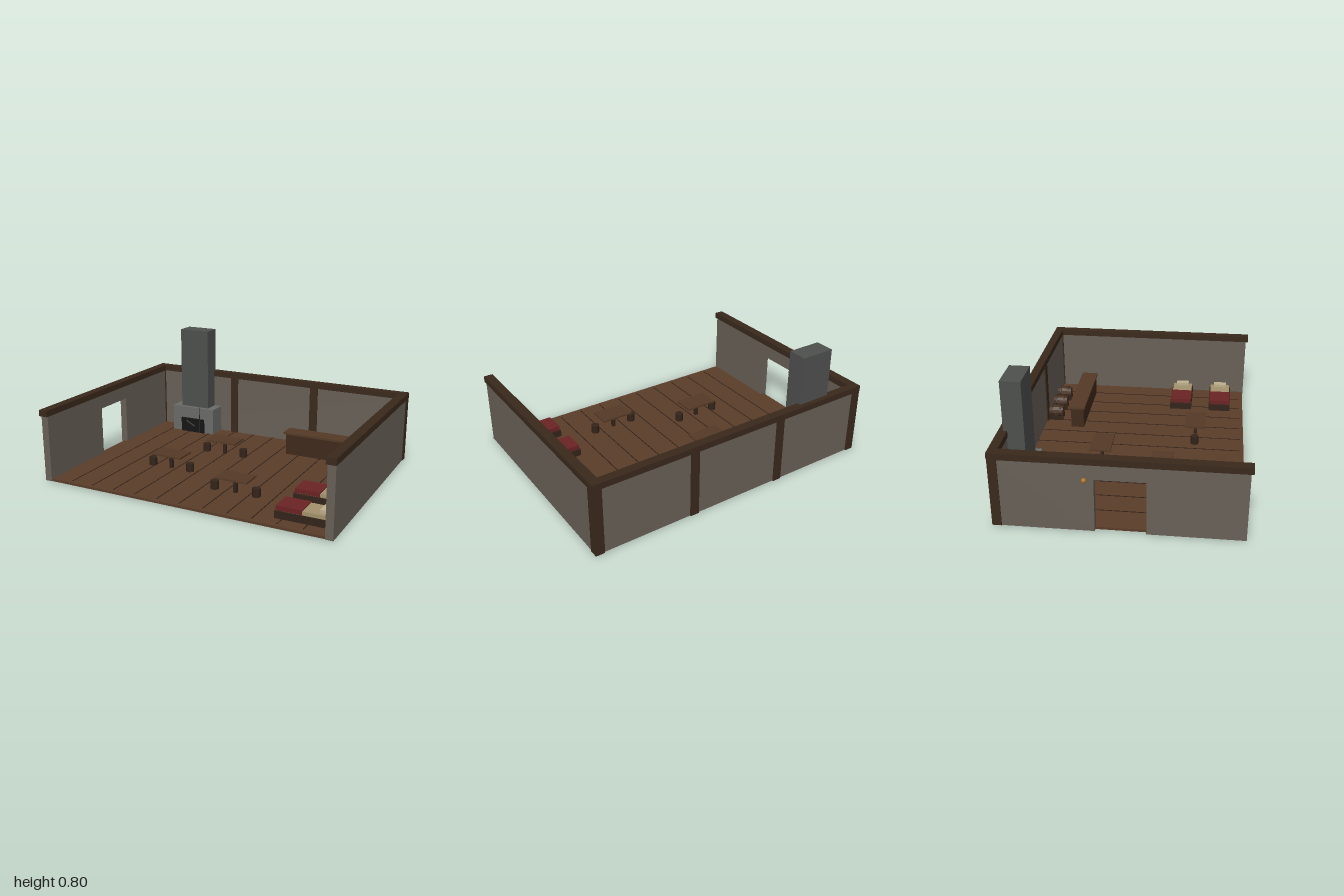
import * as THREE from 'three';

const mat = (color) => new THREE.MeshStandardMaterial({ color });

export function createModel() {
  const root = new THREE.Group();
  root.name = 'tavernRoom';
  const M = {
    floor: mat(0x5a3d2a), gap: mat(0x2e1f16), beam: mat(0x3a291c), plaster: mat(0x686057),
    stone: mat(0x6a6a68), chimney: mat(0x4e504e), black: mat(0x151515), table: mat(0x553a26),
    stool: mat(0x33241a), counter: mat(0x402a1c), red: mat(0x6b2323), cream: mat(0xa3916c),
    pillow: mat(0xbdb08c), brass: mat(0xa8702a), iron: mat(0x2a2a2a),
  };

  const add = (name, geo, material, x, y, z, parent = root) => {
    const m = new THREE.Mesh(geo, material);
    m.name = name;
    m.position.set(x, y, z);
    parent.add(m);
    return m;
  };
  // Box given by its min and max along each axis
  const box = (name, material, x0, x1, y0, y1, z0, z1, parent = root) =>
    add(name, new THREE.BoxGeometry(x1 - x0, y1 - y0, z1 - z0), material,
      (x0 + x1) / 2, (y0 + y1) / 2, (z0 + z1) / 2, parent);
  const group = (name, x = 0, y = 0, z = 0) => {
    const g = new THREE.Group();
    g.name = name;
    g.position.set(x, y, z);
    root.add(g);
    return g;
  };

  // Plank floor with dark seams
  box('floor', M.floor, -0.94, 0.975, 0.004, 0.02, -0.715, 0.715);
  for (let i = 0; i < 11; i++) {
    const x = -0.772 + i * 0.158;
    box('plankSeam', M.gap, x - 0.003, x + 0.003, 0.019, 0.0215, -0.69, 0.69);
  }

  // Back and plain side wall
  box('backWall', M.plaster, -0.955, 0.99, 0.004, 0.445, -0.73, -0.69);
  box('leftWall', M.plaster, 0.946, 0.994, 0.004, 0.445, -0.72, 0.72);

  // Side wall with the doorway cut out
  const outline = new THREE.Shape();
  [[-0.72, 0.004], [-0.14, 0.004], [-0.14, 0.345], [0.155, 0.345], [0.155, 0.004],
    [0.72, 0.004], [0.72, 0.445], [-0.72, 0.445]]
    .forEach(([z, y], i) => (i ? outline.lineTo(-z, y) : outline.moveTo(-z, y)));
  const doorWall = new THREE.ExtrudeGeometry(outline, { depth: 0.048, bevelEnabled: false });
  doorWall.rotateY(Math.PI / 2);
  add('doorWall', doorWall, M.plaster, -0.96, 0, 0);

  // Posts along the back and beams capping the walls
  for (const x of [-0.935, -0.302, 0.332, 0.97])
    box('backPost', M.beam, x - 0.029, x + 0.029, 0.004, 0.445, -0.738, -0.682);
  box('backBeam', M.beam, -0.965, 1, 0.44, 0.48, -0.74, -0.685);
  for (const x of [-0.935, 0.97])
    box('sideBeam', M.beam, x - 0.03, x + 0.03, 0.44, 0.48, -0.685, 0.735);

  // Lamp beside the doorway
  const lamp = group('doorLamp', -0.984, 0.353, -0.19);
  add('lampGlobe', new THREE.SphereGeometry(0.016, 10, 8), M.brass, 0, 0, 0, lamp);
  box('lampBracket', M.iron, 0, 0.03, -0.004, 0.004, -0.004, 0.004, lamp);

  // Fireplace
  const fire = group('fireplace');
  box('hearthBlock', M.stone, -0.76, -0.418, 0.002, 0.21, -0.69, -0.555, fire);
  box('chimney', M.chimney, -0.7, -0.475, 0.2, 0.798, -0.71, -0.585, fire);
  box('fireOpening', M.black, -0.685, -0.493, 0.018, 0.125, -0.565, -0.545, fire);
  const log = add('log', new THREE.CylinderGeometry(0.008, 0.008, 0.08, 6), M.iron, -0.605, 0.085, -0.543, fire);
  log.rotation.z = 1.1;
  add('poker', new THREE.CylinderGeometry(0.003, 0.003, 0.2, 6), M.iron, -0.528, 0.122, -0.543, fire);

  // Bar counter
  const bar = group('barCounter');
  box('counterBody', M.counter, 0.24, 0.81, 0, 0.166, -0.5, -0.41, bar);
  box('counterTop', M.table, 0.225, 0.825, 0.166, 0.18, -0.515, -0.4, bar);

  // Barrels lying behind the counter, with iron hoops
  const barrelProfile = [[0, -0.05], [0.036, -0.05], [0.043, -0.02], [0.043, 0.02], [0.036, 0.05], [0, 0.05]]
    .map(([r, y]) => new THREE.Vector2(r, y));
  for (const x of [0.365, 0.525, 0.685]) {
    const barrel = group('barrel', x, 0.078, -0.63);
    barrel.rotation.x = Math.PI / 2;
    const staves = mat(0x49301f);
    staves.flatShading = true;
    add('barrelStaves', new THREE.LatheGeometry(barrelProfile, 12), staves, 0, 0, 0, barrel);
    for (const y of [-0.028, 0.028])
      add('barrelHoop', new THREE.CylinderGeometry(0.0445, 0.0445, 0.007, 12), M.iron, 0, y, 0, barrel);
    for (const s of [-1, 1])
      box('barrelCradle', M.stool, x + s * 0.03 - 0.008, x + s * 0.03 + 0.008, 0.02, 0.05, -0.68, -0.58);
  }

  // Tables, each with a pedestal and two stools
  for (const [x, z] of [[-0.143, -0.22], [-0.334, 0.19], [0.239, 0.382]]) {
    const set = group('tableSet', x, 0.02, z);
    box('tableTop', M.table, -0.11, 0.11, 0.095, 0.107, -0.07, 0.07, set);
    box('tableLeg', M.stool, -0.011, 0.011, 0, 0.096, -0.011, 0.011, set);
    for (const s of [-1, 1])
      add('stool', new THREE.CylinderGeometry(0.027, 0.027, 0.055, 10), M.stool, s * 0.143, 0.0275, 0, set);
  }

  // Beds with blanket and pillow
  for (const z of [0.257, 0.542]) {
    const bed = group('bed', 0, 0, z);
    box('bedFrame', M.stool, 0.603, 0.92, 0.02, 0.066, -0.078, 0.078, bed);
    box('mattress', M.cream, 0.615, 0.908, 0.06, 0.09, -0.07, 0.07, bed);
    box('blanket', M.red, 0.61, 0.77, 0.068, 0.097, -0.073, 0.073, bed);
    box('pillow', M.pillow, 0.866, 0.914, 0.088, 0.11, -0.045, 0.045, bed);
  }
  return root;
}
